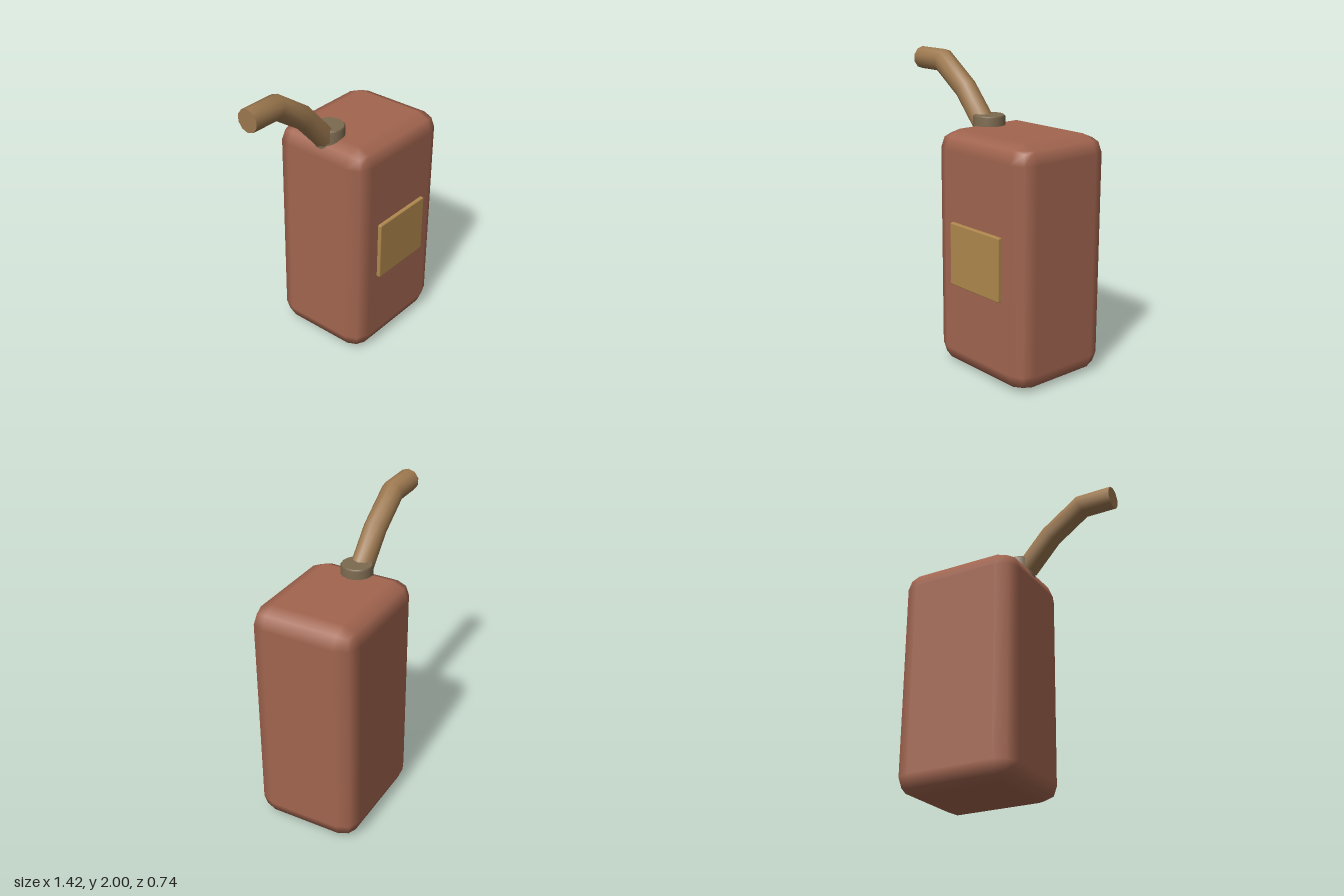
import * as THREE from 'three';
import { RoundedBoxGeometry } from 'three/addons/geometries/RoundedBoxGeometry.js';

const mat = (name, color) => {
  const m = new THREE.MeshStandardMaterial({ color });
  m.name = name;
  return m;
};

// Tube with mitred bends along a path in the XY plane, closed at both ends
function bentPipe(points, radius, sides) {
  const last = points.length - 1;
  const geo = new THREE.CylinderGeometry(1, 1, last, sides, last);
  const pos = geo.attributes.position;
  const dirs = points.slice(1).map((p, i) => p.clone().sub(points[i]).normalize());
  for (let i = 0; i < pos.count; i++) {
    const k = Math.round(pos.getY(i) + last / 2);
    const a = dirs[Math.max(k - 1, 0)], b = dirs[Math.min(k, last - 1)];
    const t = a.clone().add(b).normalize();
    const across = radius * pos.getZ(i) / t.dot(a);
    pos.setXYZ(i, points[k].x - t.y * across, points[k].y + t.x * across, radius * pos.getX(i));
  }
  geo.computeVertexNormals();
  return geo;
}

export function createModel() {
  const model = new THREE.Group();
  model.name = 'fuelCan';
  const red = mat('faded red', 0xa2654f);
  const brown = mat('spout brown', 0x9c784f);
  const olive = mat('collar olive', 0x7c6a50);
  const ochre = mat('label ochre', 0xb0884e);
  const midZ = -0.0125;

  const add = (name, geo, material, x, y, z) => {
    const mesh = new THREE.Mesh(geo, material);
    mesh.name = name;
    mesh.position.set(x, y, z);
    model.add(mesh);
  };

  // Can body with two-step rounded edges
  add('body', new RoundedBoxGeometry(0.845, 1.555, 0.715, 1, 0.118), red, 0.2875, 0.7775, midZ);

  // Label plate on the front
  add('label', new RoundedBoxGeometry(0.465, 0.41, 0.06, 1, 0.008), ochre, 0.2875, 0.78, 0.34);

  // Collar with a slightly bevelled rim
  const rim = [[0, 1.495], [0.104, 1.495], [0.104, 1.495], [0.104, 1.61], [0.096, 1.62], [0.096, 1.62], [0, 1.62]];
  add('collar', new THREE.LatheGeometry(rim.map(([x, y]) => new THREE.Vector2(x, y)), 18), olive, -0.012, 0, midZ);

  // Bent spout, from the collar to the tip
  const path = [[-0.068, 1.56], [-0.25, 1.762], [-0.485, 1.925], [-0.715, 1.925]];
  add('spout', bentPipe(path.map(([x, y]) => new THREE.Vector2(x, y)), 0.075, 10), brown, 0, 0, midZ);

  return model;
}
